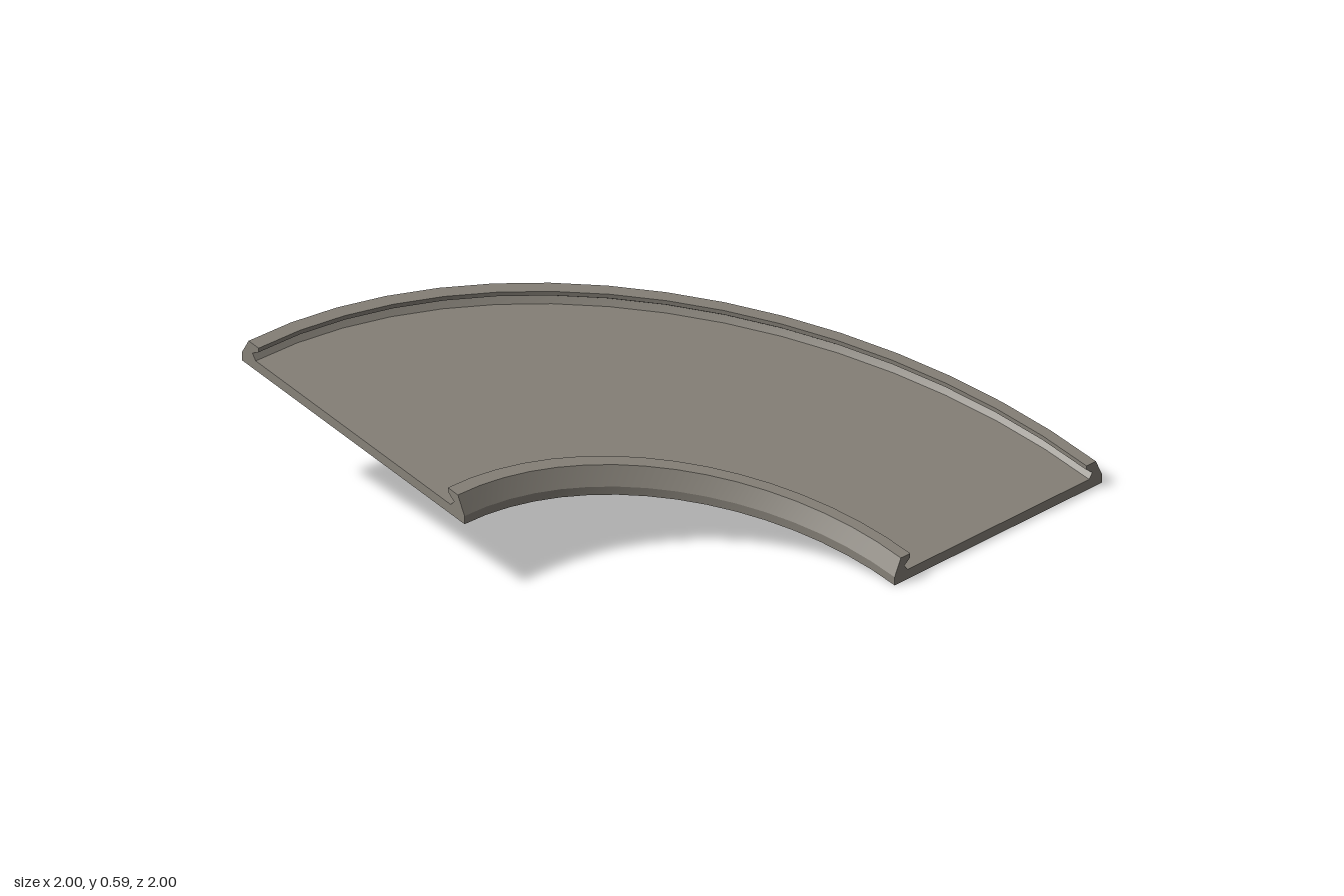
import * as THREE from 'three';
import { toCreasedNormals } from 'three/addons/utils/BufferGeometryUtils.js';

const SEGMENTS = 16;      // facets along the quarter turn
const SLOPE = 0.2525;     // rise per unit toward -x
const INNER = 1, OUTER = 2;

// Rim outline as [inset from the edge, height], from the underside up and over to the deck
const RIM = [[0, 0], [0, 0.03], [0.03, 0.09], [0.075, 0.09], [0.075, 0.075], [0.047, 0.055], [0.062, 0.035]];

// Cross-section: flat deck between two mirrored overhanging rims
function profile() {
  const outer = RIM.map(([d, h]) => new THREE.Vector2(OUTER - d, h));
  const inner = RIM.map(([d, h]) => new THREE.Vector2(INNER + d, h)).reverse();
  return new THREE.Shape([...outer, ...inner]);
}

export function createModel() {
  const group = new THREE.Group();
  group.name = 'curvedRamp';
  const stone = new THREE.MeshStandardMaterial({ color: 0x89847b });
  stone.name = 'warmGrey';

  // Extrude straight, then bend around the corner (1, 1) and shear into a slope
  const geo = new THREE.ExtrudeGeometry(profile(), {
    depth: Math.PI / 2, steps: SEGMENTS, bevelEnabled: false,
  });
  const p = geo.attributes.position;
  for (let i = 0; i < p.count; i++) {
    const r = p.getX(i), h = p.getY(i), t = p.getZ(i);
    const x = 1 - r * Math.cos(t);
    p.setXYZ(i, x, h + SLOPE * (1 - x), 1 - r * Math.sin(t));
  }
  geo.clearGroups();

  const ramp = new THREE.Mesh(toCreasedNormals(geo, 0.3), stone);
  ramp.name = 'rampDeckWithRims';
  group.add(ramp);
  return group;
}
